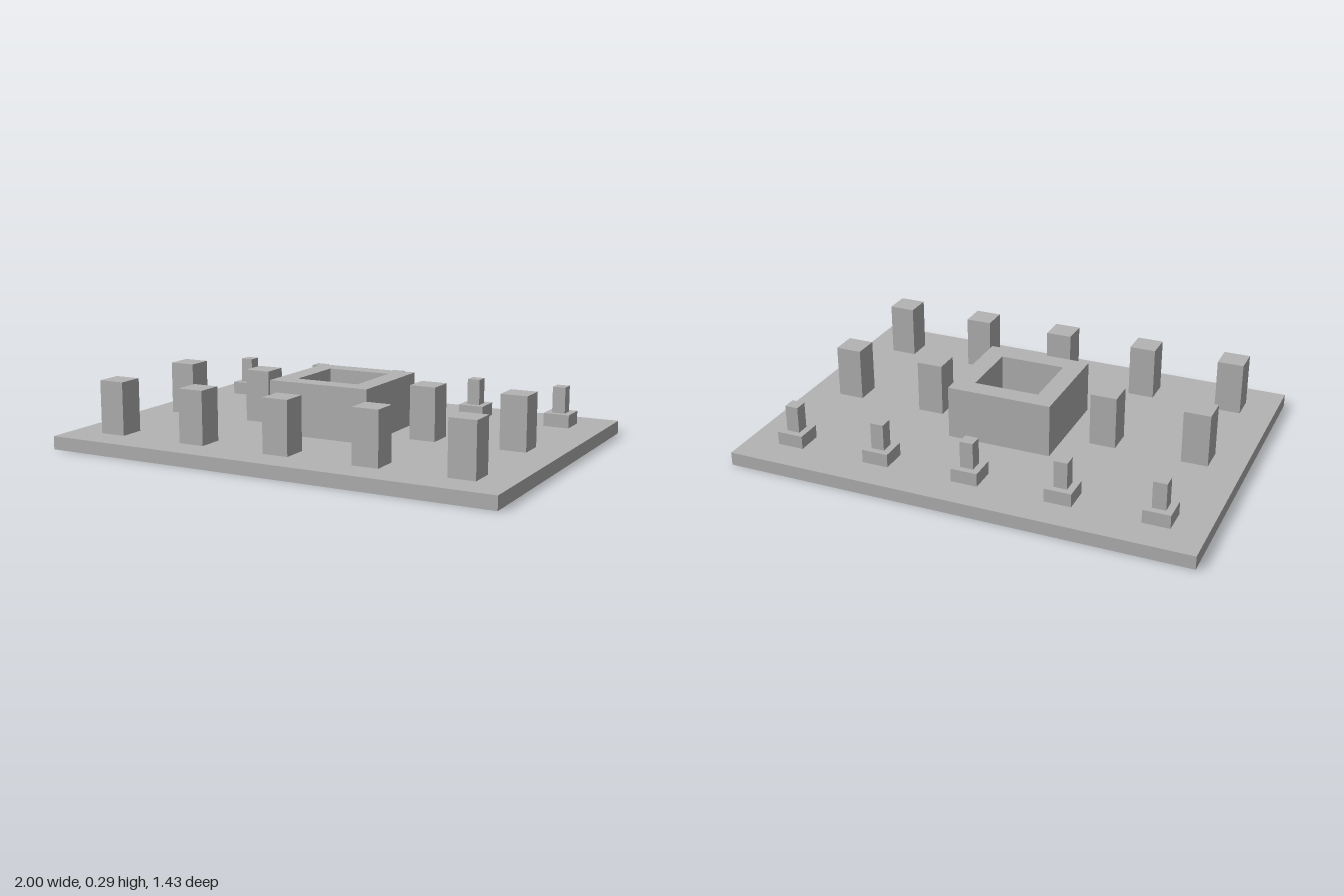
import * as THREE from 'three';

// The whole layout sits on a 35 x 25 unit grid, scaled so the plate is 2 wide.
const U = 2 / 35;

export function createModel() {
  const model = new THREE.Group();
  model.name = 'moldPlate';
  const grey = new THREE.MeshStandardMaterial({ color: 0xb4b4b4 });
  grey.name = 'plain grey';

  const add = (name, geometry, x, y, z) => {
    const mesh = new THREE.Mesh(geometry, grey);
    mesh.name = name;
    mesh.position.set(x * U, y * U, z * U);
    model.add(mesh);
  };

  // Box standing on its base
  const block = (w, h) => new THREE.BoxGeometry(w * U, h * U, w * U).translate(0, h * U / 2, 0);

  // Rectangular slab with a square opening, lying flat
  const frame = (w, d, hole, h) => {
    const corners = (a, b) => [[-a, -b], [a, -b], [a, b], [-a, b]]
      .map(([x, y]) => new THREE.Vector2(x * U / 2, y * U / 2));
    const shape = new THREE.Shape(corners(w, d));
    shape.holes.push(new THREE.Path(corners(hole, hole).reverse()));
    return new THREE.ExtrudeGeometry(shape, { depth: h * U, bevelEnabled: false })
      .rotateX(-Math.PI / 2);
  };

  // Base plate and central collar share one through opening
  add('basePlate', frame(35, 25, 5, 1), 0, 0, 0);
  add('centralCollar', frame(8, 8, 5, 4), 0, 1, 0);

  const pillar = block(2, 4);
  const pegFoot = block(2, 1);
  const pegPost = block(1, 2);

  for (let column = -2; column <= 2; column++) {
    const x = column * 7;
    // Front row of pillars
    add('frontPillar', pillar, x, 1, 9);
    // Middle row, right side only
    if (column < 0) add('middlePillar', pillar, x, 1, 0);
    // Left side of the middle row
    if (column > 0) add('middlePillar', pillar, x, 1, 0);
    // Back row of stepped pegs
    add('pegFoot', pegFoot, x, 1, -9);
    add('pegPost', pegPost, x, 2, -9);
  }
  return model;
}
